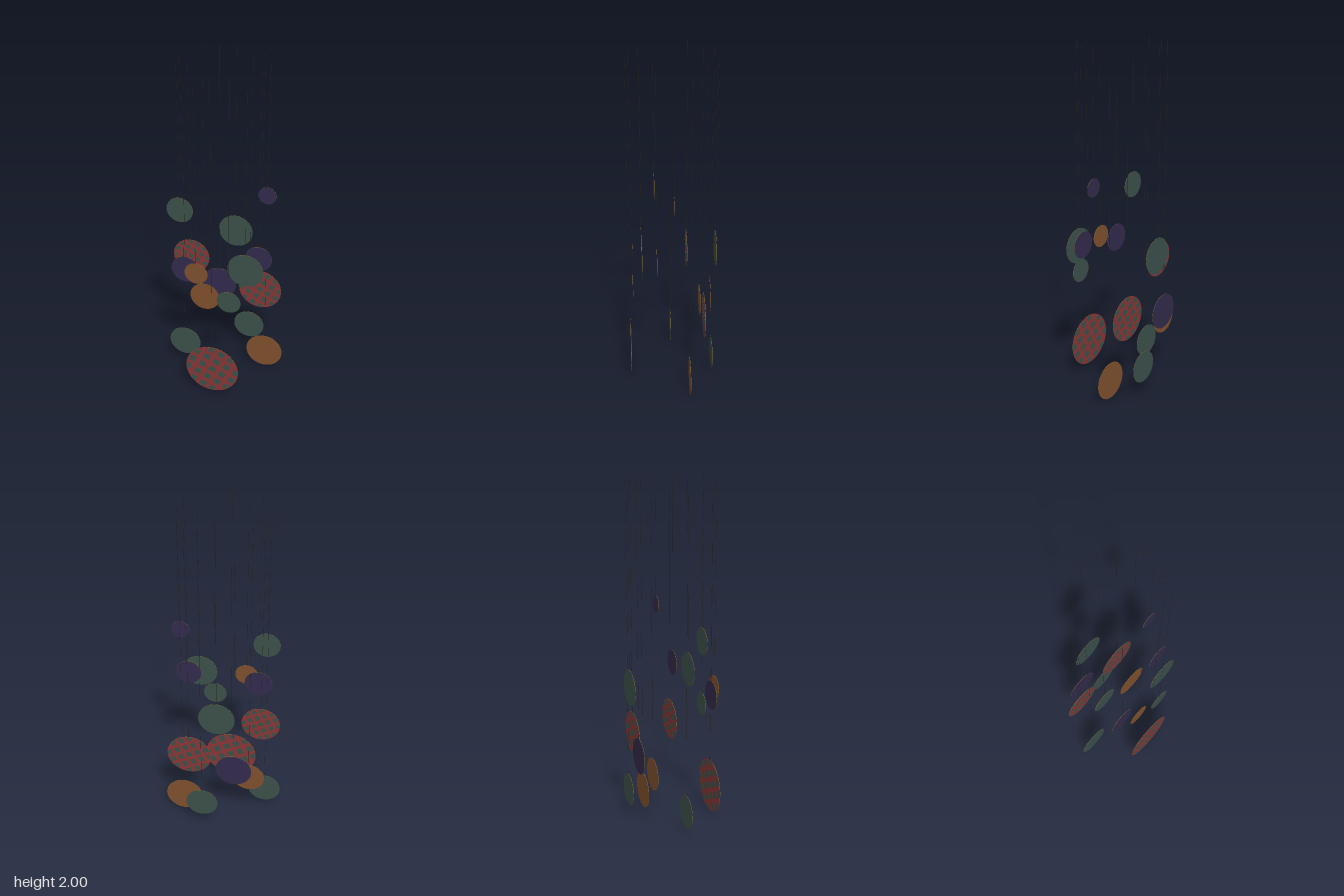
import * as THREE from 'three';

const mat = (name, color) => {
  const m = new THREE.MeshStandardMaterial({ color });
  m.name = name;
  return m;
};

export function createModel() {
  const model = new THREE.Group();
  model.name = 'hangingDiscMobile';

  const green = mat('deepGreen', 0x3c514b);
  const purple = mat('darkPurple', 0x342b4d);
  const brown = mat('warmBrown', 0x80502d);
  const red = mat('brickRed', 0x8c3535);
  const rim = mat('agedGoldRim', 0x846a30);
  const thread = mat('thread', 0x222222);

  const RING = 0.247, TOP = 2, THICK = 0.002;

  // discs in order round the ring, from the front towards +x: height, radius, face
  const discs = [
    [0.18, 0.158, red], [0.665, 0.069, green], [0.857, 0.103, green], [0.896, 0.077, purple],
    [1.25, 0.052, purple], [0.111, 0.111, brown], [0.503, 0.13, red], [0.187, 0.094, green],
    [0.842, 0.103, green], [0.465, 0.104, purple], [0.38, 0.093, brown], [0.719, 0.11, red],
    [0.152, 0.097, green], [1.136, 0.077, green], [0.804, 0.083, purple], [0.823, 0.067, brown],
  ];

  // spaced green checks on both faces of a red disc, trimmed at its edge
  function checks(r) {
    const step = r * 0.41, half = r * 0.125, edge = r * 0.98, shapes = [];
    for (let i = -2; i <= 2; i++) {
      for (let j = -2; j <= 2; j++) {
        if (Math.hypot(i, j) * step > r * 0.96) continue;
        const corners = [[-1, -1], [1, -1], [1, 1], [-1, 1]].map(([u, v]) =>
          new THREE.Vector2(i * step + u * half, j * step + v * half).clampLength(0, edge));
        shapes.push(new THREE.Shape(corners));
      }
    }
    const depth = THICK + 0.0012;
    const geo = new THREE.ExtrudeGeometry(shapes, { depth, bevelEnabled: false });
    geo.translate(0, 0, -depth / 2);
    geo.rotateZ(-0.45);
    const mesh = new THREE.Mesh(geo, green);
    mesh.name = 'checkPattern';
    return mesh;
  }

  discs.forEach(([y, r, face], i) => {
    const a = (i / discs.length) * Math.PI * 2;
    const pendant = new THREE.Group();
    pendant.name = 'pendant' + (i + 1);
    pendant.position.set(Math.sin(a) * RING + 0.002, y, Math.cos(a) * RING);

    // thin disc facing the front
    const geo = new THREE.CylinderGeometry(r, r, THICK, 48);
    geo.rotateX(Math.PI / 2);
    const disc = new THREE.Mesh(geo, [rim, face, face]);
    disc.name = 'disc';
    pendant.add(disc);
    if (face === red) pendant.add(checks(r));

    // thread from the disc centre to the top
    const len = TOP - y;
    const string = new THREE.Mesh(new THREE.CylinderGeometry(0.0007, 0.0007, len, 6), thread);
    string.position.y = len / 2;
    string.name = 'string';
    pendant.add(string);

    model.add(pendant);
  });

  return model;
}
